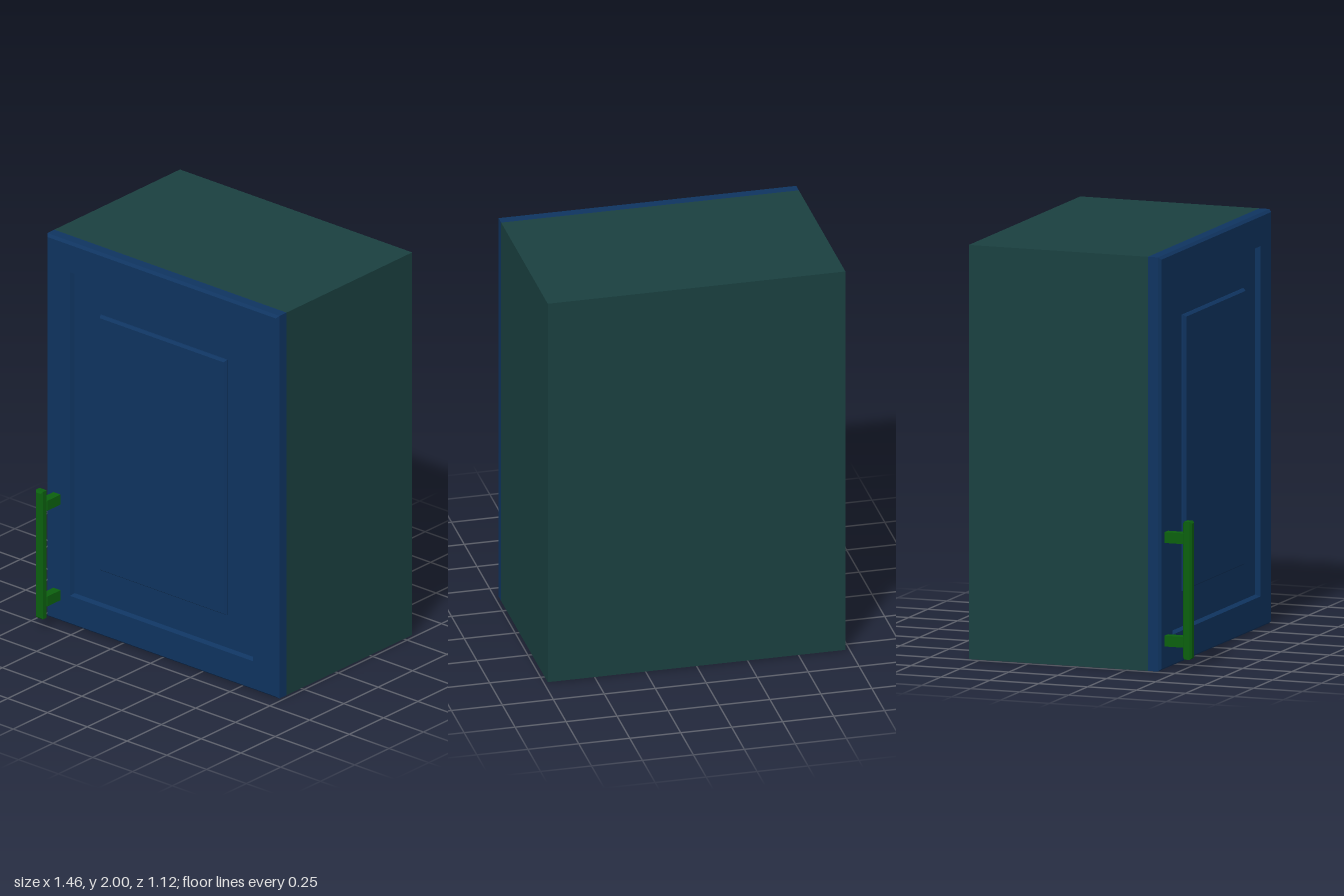
import * as THREE from 'three';

// Rectangular cross-sections [halfWidth, halfHeight, z] joined from back to front, capped at both ends
function loft(sections) {
  const pos = [];
  const rings = sections.map(([w, h, z]) => [[-w, -h, z], [w, -h, z], [w, h, z], [-w, h, z]]);
  const quad = (a, b, c, d) => pos.push(...a, ...b, ...c, ...a, ...c, ...d);
  for (let i = 0; i < rings.length - 1; i++) {
    for (let k = 0; k < 4; k++) {
      const n = (k + 1) % 4;
      quad(rings[i][k], rings[i][n], rings[i + 1][n], rings[i + 1][k]);
    }
  }
  const [a, b, c, d] = rings[0];
  quad(d, c, b, a);
  quad(...rings[rings.length - 1]);
  const geo = new THREE.BufferGeometry();
  geo.setAttribute('position', new THREE.Float32BufferAttribute(pos, 3));
  geo.computeVertexNormals();
  return geo;
}

// Box with all edges chamfered by c, centred on the origin
function chamferBox(w, h, d, c) {
  const x = w / 2, y = h / 2, z = d / 2;
  return loft([[x - c, y - c, -z], [x, y, -z + c], [x, y, z - c], [x - c, y - c, z]]);
}

export function createModel() {
  const group = new THREE.Group();
  const teal = new THREE.MeshStandardMaterial({ color: 0x1a4040 });
  const blue = new THREE.MeshStandardMaterial({ color: 0x0f3460 });
  const green = new THREE.MeshStandardMaterial({ color: 0x0b600e });

  const add = (parent, name, geo, mat, x, y, z) => {
    const mesh = new THREE.Mesh(geo, mat);
    mesh.name = name;
    mesh.position.set(x, y, z);
    parent.add(mesh);
  };

  // Cabinet body
  add(group, 'cabinetBody', new THREE.BoxGeometry(1.46, 2, 0.915), teal, 0, 1, -0.1025);

  // Door: chamfered outer edge, flat rails, then a step down to the recess
  const door = new THREE.Group();
  door.name = 'door';
  group.add(door);
  add(door, 'doorFrame', loft([
    [0.73, 1, 0.355], [0.73, 1, 0.406], [0.718, 0.988, 0.42],
    [0.575, 0.846, 0.42], [0.565, 0.836, 0.398],
  ]), blue, 0, 1, 0);

  // Raised centre field inside the recess
  add(door, 'raisedPanel', loft([
    [0.398, 0.667, 0.39], [0.398, 0.667, 0.404], [0.388, 0.657, 0.418],
  ]), blue, 0, 1.003, 0);

  // Handle: upright bar on two posts
  const handle = new THREE.Group();
  handle.name = 'handle';
  handle.position.set(-0.657, 0.39, 0);
  group.add(handle);
  add(handle, 'handleBar', chamferBox(0.045, 0.666, 0.045, 0.009), green, 0, 0, 0.5345);
  for (const s of [-1, 1]) {
    add(handle, 'handlePost', chamferBox(0.045, 0.052, 0.12, 0.009), green, 0, s * 0.25, 0.465);
  }
  return group;
}
